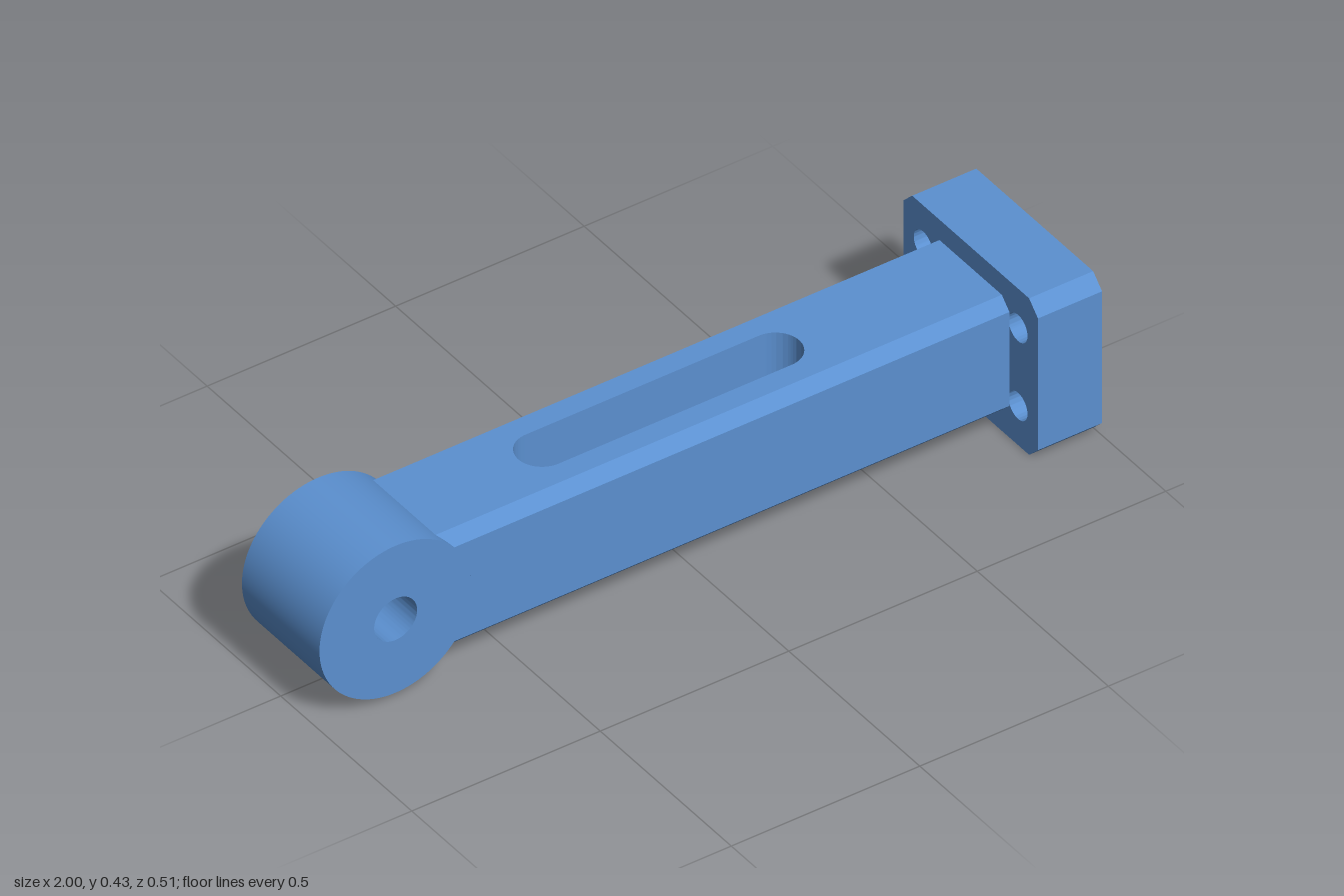
import * as THREE from 'three';
import { toCreasedNormals } from 'three/addons/utils/BufferGeometryUtils.js';

const MID_Y = 0.216;     // height of the long axis
const HALF_Z = 0.148;    // half width of arm and eye
const EYE = { x: -0.798, r: 0.202, bore: 0.057 };
const ARM = { right: 0.83, halfY: 0.158, chamfer: 0.029 };
const SLOT = { left: -0.37, right: 0.375, r: 0.063 };
const FLANGE = { halfZ: 0.257, halfY: 0.215, cut: 0.034, boltZ: 0.181, boltY: 0.107, boltR: 0.036 };

function circleHole(x, y, r) {
  const path = new THREE.Path();
  path.absarc(x, y, r, 0, Math.PI * 2, true);
  return path;
}

function extrude(shape, depth, steps = 1) {
  return new THREE.ExtrudeGeometry(shape, { depth, steps, bevelEnabled: false, curveSegments: 48 });
}

// Round eye with a cross bore
function eyeGeometry() {
  const shape = new THREE.Shape();
  shape.absarc(0, 0, EYE.r, 0, Math.PI * 2, false);
  shape.holes.push(circleHole(0, 0, EYE.bore));
  return extrude(shape, HALF_Z * 2).translate(EYE.x, MID_Y, -HALF_Z);
}

// Slotted arm: plan extruded upwards, long edges chamfered, left end fitted to the eye
function armGeometry() {
  const left = -0.7;
  const shape = new THREE.Shape([
    new THREE.Vector2(left, -HALF_Z), new THREE.Vector2(ARM.right, -HALF_Z),
    new THREE.Vector2(ARM.right, HALF_Z), new THREE.Vector2(left, HALF_Z),
  ]);
  const slot = new THREE.Path();
  slot.absarc(SLOT.left + SLOT.r, 0, SLOT.r, -Math.PI / 2, Math.PI / 2, true);
  slot.absarc(SLOT.right - SLOT.r, 0, SLOT.r, Math.PI / 2, -Math.PI / 2, true);
  shape.holes.push(slot);

  const steps = 18;
  const geo = extrude(shape, steps, steps).rotateX(-Math.PI / 2);
  const p = geo.attributes.position;
  const flat = ARM.halfY - ARM.chamfer;
  for (let i = 0; i < p.count; i++) {
    const level = Math.round(p.getY(i));
    const isEnd = level === 0 || level === steps;
    const dy = isEnd
      ? (level === 0 ? -ARM.halfY : ARM.halfY)
      : -flat + 2 * flat * (level - 1) / (steps - 2);
    p.setY(i, MID_Y + dy);
    const z = p.getZ(i);
    if (isEnd && Math.abs(z) > 0.1) p.setZ(i, Math.sign(z) * (HALF_Z - ARM.chamfer));
    if (p.getX(i) < left + 0.01) p.setX(i, EYE.x + Math.sqrt(EYE.r ** 2 - dy ** 2));
  }
  return geo;
}

// Mounting flange with cut corners and four bolt holes
function flangeGeometry() {
  const { halfZ: w, halfY: h, cut: c } = FLANGE;
  const shape = new THREE.Shape([
    [-w + c, -h], [w - c, -h], [w, -h + c], [w, h - c],
    [w - c, h], [-w + c, h], [-w, h - c], [-w, -h + c],
  ].map(([x, y]) => new THREE.Vector2(x, y)));
  for (const sz of [-1, 1]) for (const sy of [-1, 1]) {
    shape.holes.push(circleHole(sz * FLANGE.boltZ, sy * FLANGE.boltY, FLANGE.boltR));
  }
  return extrude(shape, 1 - ARM.right).rotateY(Math.PI / 2).translate(ARM.right, FLANGE.halfY, 0);
}

export function createModel() {
  const group = new THREE.Group();
  group.name = 'linkArm';
  const blue = new THREE.MeshStandardMaterial({ color: 0x5b90d0 });
  blue.name = 'blue';
  const parts = { eye: eyeGeometry(), arm: armGeometry(), flange: flangeGeometry() };
  for (const [name, geo] of Object.entries(parts)) {
    const mesh = new THREE.Mesh(toCreasedNormals(geo, Math.PI / 6), blue);
    mesh.name = name;
    group.add(mesh);
  }
  return group;
}
